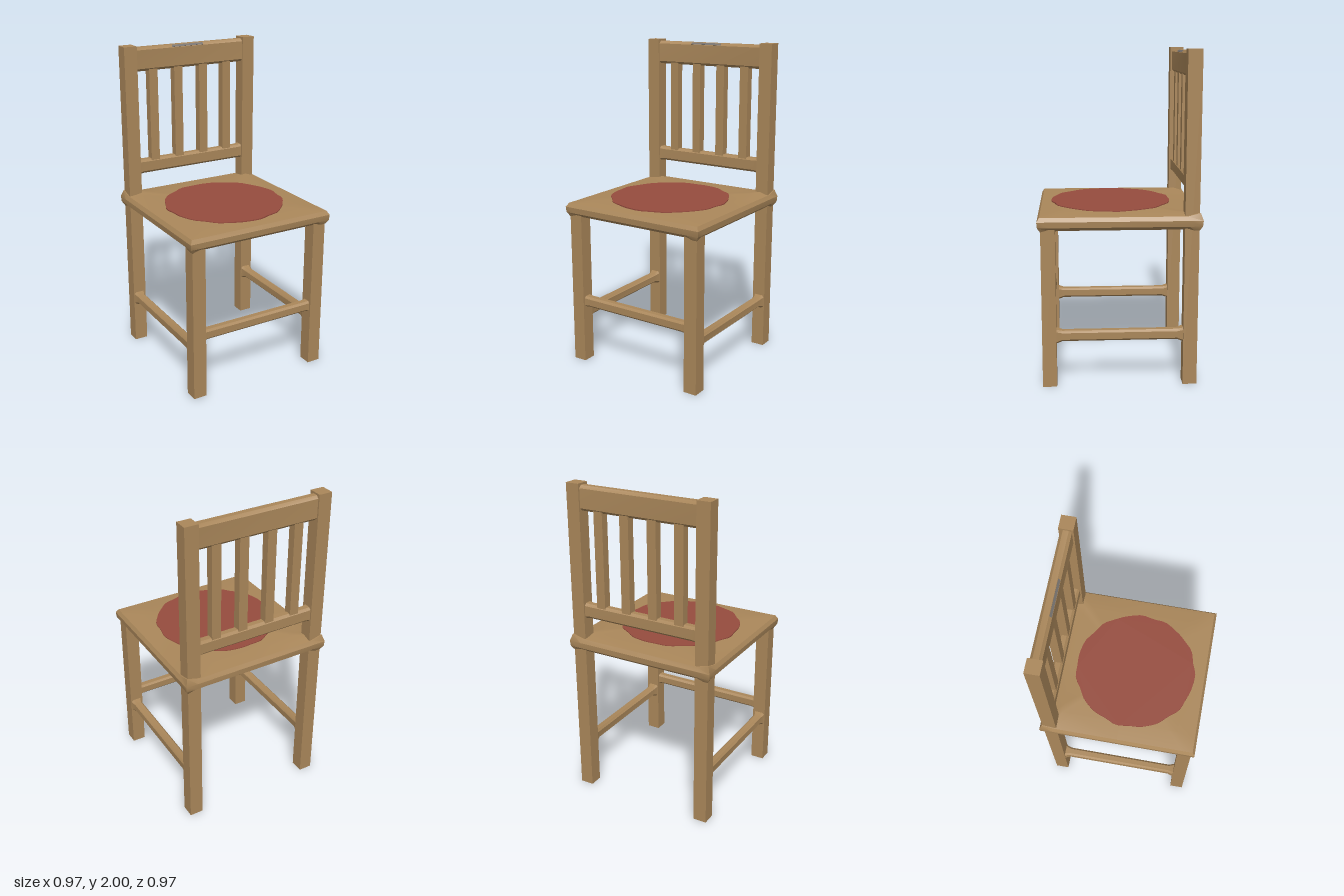
import * as THREE from 'three';
import { toCreasedNormals } from 'three/addons/utils/BufferGeometryUtils.js';

// Skin a list of equal-length rings and cap both ends.
function loft(rings) {
  const n = rings[0].length, pos = rings.flat(2), idx = [];
  const centre = (ring) => [0, 1, 2].map((k) => ring.reduce((s, p) => s + p[k], 0) / n);
  const first = rings.length * n, last = first + 1, top = (rings.length - 1) * n;
  pos.push(...centre(rings[0]), ...centre(rings[rings.length - 1]));
  for (let j = 0; j < n; j++) {
    const k = (j + 1) % n;
    for (let i = 0; i < rings.length - 1; i++) {
      const a = i * n + j, b = i * n + k, c = a + n, d = b + n;
      idx.push(a, b, c, b, d, c);
    }
    idx.push(k, j, first, top + j, top + k, last);
  }
  const g = new THREE.BufferGeometry();
  g.setAttribute('position', new THREE.Float32BufferAttribute(pos, 3));
  g.setIndex(idx);
  return toCreasedNormals(g, 0.55);
}

// Chamfered bar along x, flaring slightly where it meets the posts.
function bar(length, h, d, flare, bevel) {
  const section = (x, f) => {
    const y = h / 2 + f, z = d / 2 + f, c = bevel;
    return [[x, y, -z + c], [x, y, z - c], [x, y - c, z], [x, -y + c, z],
      [x, -y, z - c], [x, -y, -z + c], [x, -y + c, -z], [x, y - c, -z]];
  };
  const e = length / 2;
  return loft([section(-e, flare), section(-e + 0.04, 0), section(e - 0.04, 0), section(e, flare)]);
}

// Square seat slab: domed on top, sagging below, thickened at the corners.
function seatGeometry() {
  const profile = [[0.2, 0.951], [0.38, 0.957], [0.455, 0.963], [0.482, 0.985],
    [0.485, 1.02], [0.47, 1.044], [0.36, 1.055]];
  const steps = [-1, -0.84, 0, 0.84];
  return loft(profile.map(([r, y], level) => {
    const ring = [];
    for (let s = 0; s < 4; s++) {
      for (const t of steps) {
        const a = s * Math.PI / 2, c = Math.cos(a), q = Math.sin(a);
        const x = r * (c + t * -q), z = -r * (q + t * c);
        const corner = t === -1 ? 1 : 0;
        let dy = 0;
        if (level === 2) dy = -0.022 * corner;
        if (level === 5 && z < 0) dy = 0.02 * corner;
        ring.push([x, y + dy, z]);
      }
    }
    return ring;
  }));
}

// Thin round patch with a slightly uneven rim.
function patchGeometry(radius, wobble) {
  const pts = [];
  for (let i = 0; i < 64; i++) {
    const a = i / 64 * Math.PI * 2;
    const r = radius + wobble * (Math.sin(a * 11) + 0.6 * Math.sin(a * 17 + 1));
    pts.push(new THREE.Vector2(r * Math.cos(a), r * Math.sin(a)));
  }
  const g = new THREE.ExtrudeGeometry(new THREE.Shape(pts), { depth: 0.007, bevelEnabled: false });
  return g.rotateX(-Math.PI / 2);
}

export function createModel() {
  const chair = new THREE.Group();
  chair.name = 'chair';
  const wood = new THREE.MeshStandardMaterial({ color: 0xaa875a });
  wood.name = 'wood';
  const red = new THREE.MeshStandardMaterial({ color: 0x964c3e });
  red.name = 'red';
  const grey = new THREE.MeshStandardMaterial({ color: 0x77726e });
  grey.name = 'grey';

  const add = (name, geometry, material, x, y, z) => {
    const mesh = new THREE.Mesh(geometry, material);
    mesh.name = name;
    mesh.position.set(x, y, z);
    chair.add(mesh);
    return mesh;
  };

  // Front legs, full-height back posts and side stretchers
  for (const side of [-1, 1]) {
    const x = side * 0.4225;
    add('frontLeg', new THREE.BoxGeometry(0.085, 0.98, 0.085), wood, x, 0.49, 0.4225);
    add('backPost', new THREE.BoxGeometry(0.085, 2, 0.085), wood, x, 1, -0.4225);
    const stretcher = add('sideStretcher', bar(0.77, 0.065, 0.055, 0.012, 0.012), wood, x, 0.3125, 0);
    stretcher.rotation.y = Math.PI / 2;
  }
  add('frontStretcher', bar(0.77, 0.065, 0.055, 0.003, 0.012), wood, 0, 0.4025, 0.4225);

  // Seat with its painted patches
  add('seat', seatGeometry(), wood, 0, 0, 0);
  add('seatPatch', patchGeometry(0.372, 0.004), red, -0.007, 1.053, 0.035);
  add('undersidePatch', patchGeometry(0.21, 0.003), red, -0.02, 0.947, 0.05);

  // Backrest rails and slats
  add('topRail', bar(0.84, 0.148, 0.065, 0.008, 0.016), wood, 0, 1.915, -0.4225);
  add('lowerRail', bar(0.78, 0.09, 0.06, 0.004, 0.014), wood, 0, 1.225, -0.4225);
  for (const x of [-0.265, -0.09, 0.09, 0.265]) {
    add('slat', new THREE.BoxGeometry(0.058, 0.6, 0.052), wood, x, 1.555, -0.4225);
  }

  // Small worn mark on the front chamfer of the top rail
  const mark = add('wornMark', new THREE.BoxGeometry(0.22, 0.016, 0.003), grey, -0.02, 1.981, -0.398);
  mark.rotation.x = -Math.PI / 4;
  return chair;
}
